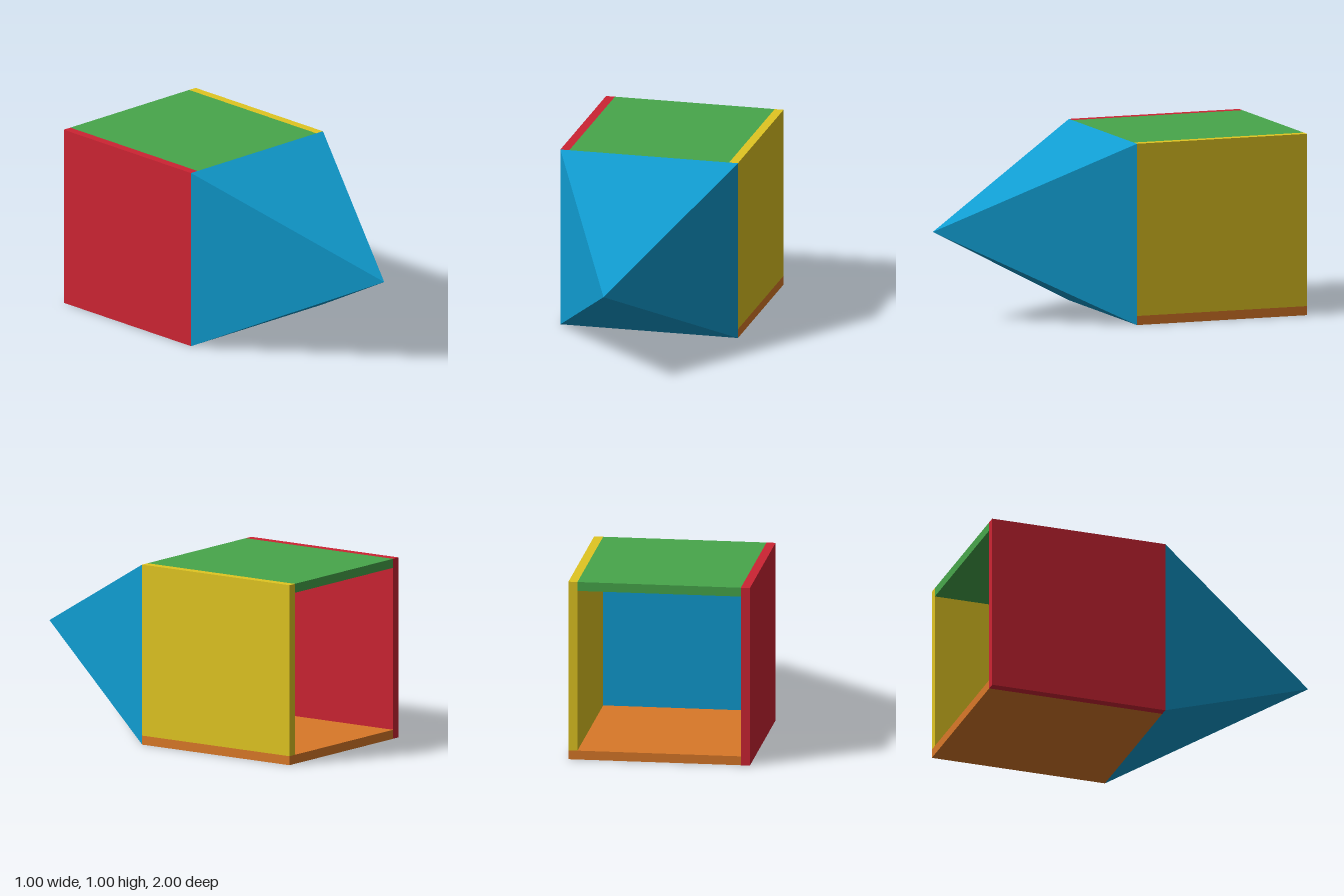
import * as THREE from 'three';

const T = 0.05; // wall thickness

export function createModel() {
  const model = new THREE.Group();
  const add = (name, geometry, color, x, y, z) => {
    const material = new THREE.MeshStandardMaterial({ color, flatShading: true });
    const mesh = new THREE.Mesh(geometry, material);
    mesh.name = name;
    mesh.position.set(x, y, z);
    model.add(mesh);
  };

  // Open-backed box of four panels: [name, colour, x0, x1, y0, y1]
  const panels = [
    ['rightWall', 0xcc2433, -0.5, -0.5 + T, 0, 1],
    ['floor', 0xd97828, -0.5 + T, 0.5, 0, T],
    ['leftWall', 0xe0c522, 0.5 - T, 0.5, T, 1],
    ['roof', 0x47a64b, -0.5 + T, 0.5 - T, 1 - T, 1],
  ];
  for (const [name, color, x0, x1, y0, y1] of panels) {
    add(name, new THREE.BoxGeometry(x1 - x0, y1 - y0, 1), color, (x0 + x1) / 2, (y0 + y1) / 2, -0.5);
  }

  // Square pyramid pointing forward; its base closes the front of the box
  const pyramid = new THREE.ConeGeometry(Math.SQRT1_2, 1, 4);
  pyramid.rotateY(Math.PI / 4).rotateX(Math.PI / 2);
  add('frontPyramid', pyramid, 0x109cd0, 0, 0.5, 0.5);

  return model;
}
